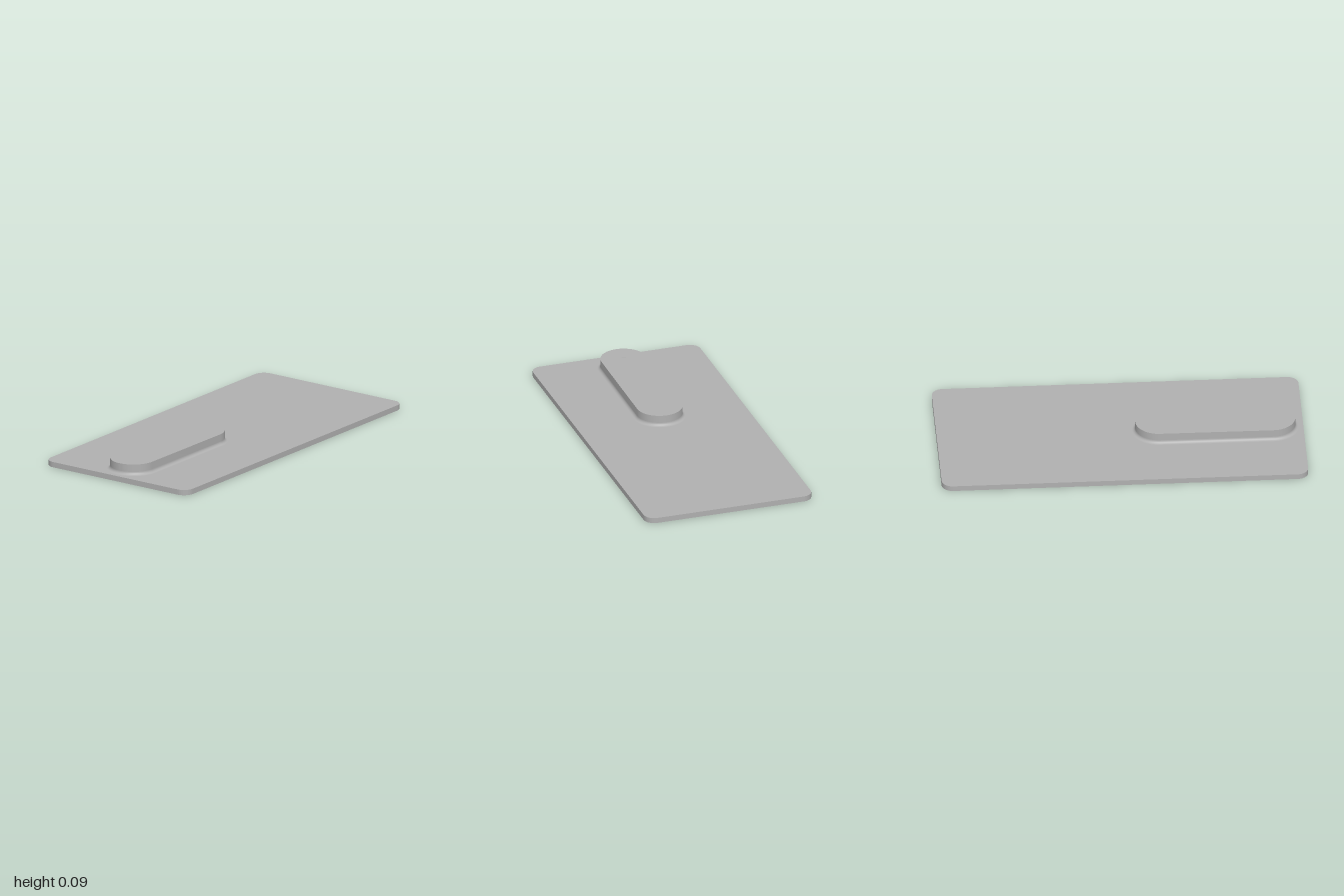
import * as THREE from 'three';
import { toCreasedNormals } from 'three/addons/utils/BufferGeometryUtils.js';

const PLATE = 0.03, TOP = 0.09, R = 0.127, HOLE = 0.022, FILLET = 0.018;
const ENDS = [[-0.83, -0.002], [-0.21, 0.002]]; // x, z of the pad's round ends and holes

// Closed stadium outline around both ends, as [x, z] at radius r
function stadium(r, n = 32) {
  const pts = [];
  const tilt = Math.atan2(ENDS[1][1] - ENDS[0][1], ENDS[1][0] - ENDS[0][0]);
  ENDS.forEach(([x, z], e) => {
    for (let i = 0; i <= n; i++) {
      const a = tilt + Math.PI * (i / n + (e ? -0.5 : 0.5));
      pts.push([x + r * Math.cos(a), z + r * Math.sin(a)]);
    }
  });
  return pts;
}

function roundedRect(w, d, r) {
  const s = new THREE.Shape();
  s.absarc(w - r, d - r, r, 0, Math.PI / 2);
  s.absarc(-w + r, d - r, r, Math.PI / 2, Math.PI);
  s.absarc(-w + r, -d + r, r, Math.PI, Math.PI * 1.5);
  s.absarc(w - r, -d + r, r, Math.PI * 1.5, Math.PI * 2);
  s.closePath();
  return s;
}

// Upright slab with both screw holes through it
function drilledSlab(shape, y0, y1) {
  for (const [x, z] of ENDS) {
    shape.holes.push(new THREE.Path().absarc(x, -z, HOLE, 0, Math.PI * 2, true));
  }
  const g = new THREE.ExtrudeGeometry(shape, { depth: y1 - y0, bevelEnabled: false, curveSegments: 24 });
  g.rotateX(-Math.PI / 2).translate(0, y0, 0);
  return toCreasedNormals(g, Math.PI / 6);
}

// Concave fillet swept around the foot of the pad
function filletGeometry(steps = 8) {
  const pos = [], index = [];
  let count = 0;
  for (let j = 0; j <= steps; j++) {
    const a = (j / steps) * Math.PI / 2;
    const ring = stadium(R + FILLET * (1 - Math.sin(a)));
    const y = PLATE + FILLET * (1 - Math.cos(a));
    count = ring.length;
    for (const [x, z] of ring) pos.push(x, y, z);
  }
  for (let j = 0; j < steps; j++) {
    for (let i = 0; i < count; i++) {
      const a = j * count + i, b = j * count + (i + 1) % count;
      index.push(a, a + count, b, b, a + count, b + count);
    }
  }
  const g = new THREE.BufferGeometry();
  g.setAttribute('position', new THREE.Float32BufferAttribute(pos, 3));
  g.setIndex(index);
  g.computeVertexNormals();
  return g;
}

export function createModel() {
  const group = new THREE.Group();
  group.name = 'mountingPlate';
  const grey = new THREE.MeshStandardMaterial({ color: 0xb0b0b0 });
  grey.name = 'grey';
  const add = (name, geometry) => {
    const mesh = new THREE.Mesh(geometry, grey);
    mesh.name = name;
    group.add(mesh);
  };

  add('basePlate', drilledSlab(roundedRect(1, 0.48, 0.06), 0, PLATE));
  const padShape = new THREE.Shape(stadium(R).map(([x, z]) => new THREE.Vector2(x, -z)));
  add('raisedPad', drilledSlab(padShape, PLATE, TOP));
  add('padFillet', filletGeometry());
  return group;
}
